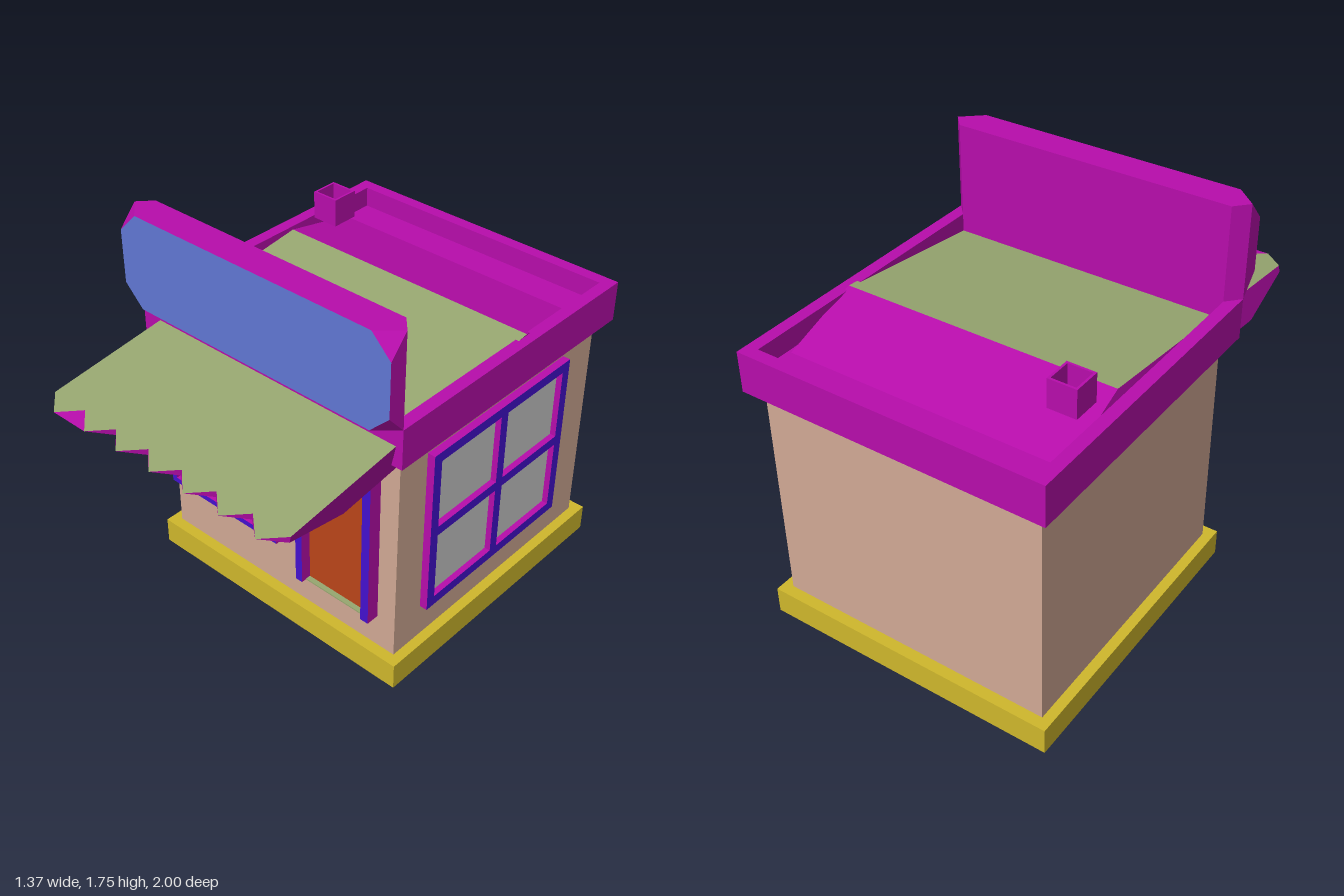
import * as THREE from 'three';

const mat = (color) => new THREE.MeshStandardMaterial({ color, flatShading: true, side: THREE.DoubleSide });

// Joins rings of [x, y, z] points into a closed solid; columnMat and endMat pick material slots.
function loft(rings, columnMat, endMat) {
  const pos = [], geo = new THREE.BufferGeometry(), n = rings[0].length;
  const add = (slot, ...points) => {
    geo.addGroup(pos.length / 3, points.length, slot);
    points.forEach((p) => pos.push(...p));
  };
  for (let j = 0; j < n; j++) {
    const k = (j + 1) % n;
    for (let i = 0; i + 1 < rings.length; i++) {
      const a = rings[i][j], b = rings[i][k], c = rings[i + 1][k], d = rings[i + 1][j];
      add(columnMat(j), a, b, c, a, c, d);
    }
  }
  const first = rings[0], last = rings[rings.length - 1];
  for (let j = 1; j + 1 < n; j++) {
    add(0, first[0], first[j + 1], first[j]);
    add(endMat, last[0], last[j], last[j + 1]);
  }
  geo.setAttribute('position', new THREE.Float32BufferAttribute(pos, 3));
  geo.computeVertexNormals();
  return geo;
}

// Rectangle outline [x0, x1, y0, y1]
function rect(Type, [x0, x1, y0, y1]) {
  return new Type([[x0, y0], [x1, y0], [x1, y1], [x0, y1]].map(([x, y]) => new THREE.Vector2(x, y)));
}

// Extruded rectangle with rectangular holes
function plate(outer, holes, depth) {
  const shape = rect(THREE.Shape, outer);
  holes.forEach((h) => shape.holes.push(rect(THREE.Path, h)));
  return new THREE.ExtrudeGeometry(shape, { depth, bevelEnabled: false });
}

export function createModel() {
  const model = new THREE.Group();
  const trim = mat(0xb80dac), wall = mat(0xd2aa95), band = mat(0xd0b82c), violet = mat(0x4411d0);
  const green = mat(0x98a871), blue = mat(0x6178d4), glass = mat(0xa6b5d2), grey = mat(0xcccccc), red = mat(0xbc4519);

  const mesh = (name, geo, material, parent = model) => {
    const m = new THREE.Mesh(geo, material);
    m.name = name;
    parent.add(m);
    return m;
  };
  const box = (name, x0, x1, y0, y1, z0, z1, material, parent) => {
    const m = mesh(name, new THREE.BoxGeometry(x1 - x0, y1 - y0, z1 - z0), material, parent);
    m.position.set((x0 + x1) / 2, (y0 + y1) / 2, (z0 + z1) / 2);
    return m;
  };
  // Horizontal frame lying flat, standing on height y
  const ring = (name, [x0, x1, z0, z1], hole, y, height) => {
    const m = mesh(name, plate([x0, x1, -z1, -z0], [[hole[0], hole[1], -hole[3], -hole[2]]], height), trim);
    m.rotation.x = -Math.PI / 2;
    m.position.y = y;
  };

  // Building
  box('footing', -0.63, 0.63, 0, 0.03, -0.94, 0.31, trim);
  box('walls', -0.63, 0.63, 0.03, 1.17, -0.94, 0.31, wall);
  box('baseBand', -0.675, 0.675, 0.02, 0.142, -0.99, 0.36, [band, band, band, trim, band, band]);
  box('roofDeck', -0.635, 0.635, 1.161, 1.25, -0.95, 0.32, trim);
  ring('parapet', [-0.685, 0.685, -1, 0.37], [-0.63, 0.63, -0.945, 0.31], 1.16, 0.18);

  // Chimney
  ring('chimney', [-0.59, -0.465, -0.67, -0.545], [-0.58, -0.475, -0.66, -0.555], 1.36, 0.125);
  box('chimneyFloor', -0.585, -0.47, 1.36, 1.37, -0.665, -0.55, trim);

  // Sign board with cut front corners and bevelled back edges
  const octagon = (w, cut, z) => {
    const y0 = 1.34, y1 = 1.755;
    return [[w, y1 - cut], [w - cut, y1], [cut - w, y1], [-w, y1 - cut],
      [-w, y0 + cut], [cut - w, y0], [w - cut, y0], [w, y0 + cut]].map(([x, y]) => [x, y, z]);
  };
  mesh('signBoard', loft([octagon(0.63, 0, 0.31), octagon(0.685, 0, 0.37), octagon(0.685, 0.09, 0.45)],
    () => 0, 1), [trim, blue]);

  // Sloping awning slab with a zigzag front edge, running back over the roof
  const stations = [];
  for (let i = 0; i <= 14; i++) {
    const u = -0.6225 + 1.245 * i / 14;
    const front = i % 2 ? 1 : 0.92, under = i === 2 ? 1 : front;
    const top = (z) => [u + 0.027 + 0.012 * z, 1.297 - 0.117 * z, z];
    const low = (z, y) => [u + 0.027 - 0.2 * (1.297 - 0.117 * z - y) + 0.012 * z, y, z];
    stations.push([top(-0.42), top(front), low(under, 1.18 - 0.25 * (1 - under)),
      low(0.62, 1.085), low(-0.8, 1.252)]);
  }
  mesh('awning', loft(stations, (j) => (j === 0 ? 1 : 0), 0), [trim, green]);

  // Four-pane window: coloured face, contrasting edges, recessed panes
  const window4 = (name, [x0, x1, y0, y1], border, bar, depth, pane) => {
    const g = new THREE.Group(), cx = (x0 + x1) / 2, cy = (y0 + y1) / 2;
    g.name = name;
    const holes = [];
    for (const [a, b] of [[x0 + border, cx - bar], [cx + bar, x1 - border]])
      for (const [c, d] of [[y0 + border, cy - bar], [cy + bar, y1 - border]]) holes.push([a, b, c, d]);
    mesh('windowFrame', plate([x0, x1, y0, y1], holes, depth), [violet, trim], g);
    box('windowPanes', x0 + 0.01, x1 - 0.01, y0 + 0.01, y1 - 0.01, -0.005, 0.008, pane, g);
    model.add(g);
    return g;
  };
  window4('frontWindow', [-0.565, 0.06, 0.455, 1.08], 0.025, 0.015, 0.085, glass).position.z = 0.31;
  const side = window4('sideWindow', [-0.15, 0.73, 0.3, 1.085], 0.045, 0.022, 0.035, grey);
  side.rotation.y = Math.PI / 2;
  side.position.x = 0.63;

  // Door with frame open at the bottom
  const door = new THREE.Group();
  door.name = 'door';
  model.add(door);
  const jamb = new THREE.Shape([[0.145, 0.3], [0.18, 0.3], [0.18, 1.035], [0.5, 1.035],
    [0.5, 0.3], [0.54, 0.3], [0.54, 1.08], [0.145, 1.08]].map(([x, y]) => new THREE.Vector2(x, y)));
  mesh('doorFrame', new THREE.ExtrudeGeometry(jamb, { depth: 0.06, bevelEnabled: false }), [violet, trim], door)
    .position.z = 0.31;
  box('doorPanel', 0.175, 0.505, 0.3, 1.04, 0.305, 0.322, red, door);
  box('doorSill', 0.18, 0.5, 0.297, 0.303, 0.305, 0.345, green, door);

  return model;
}
